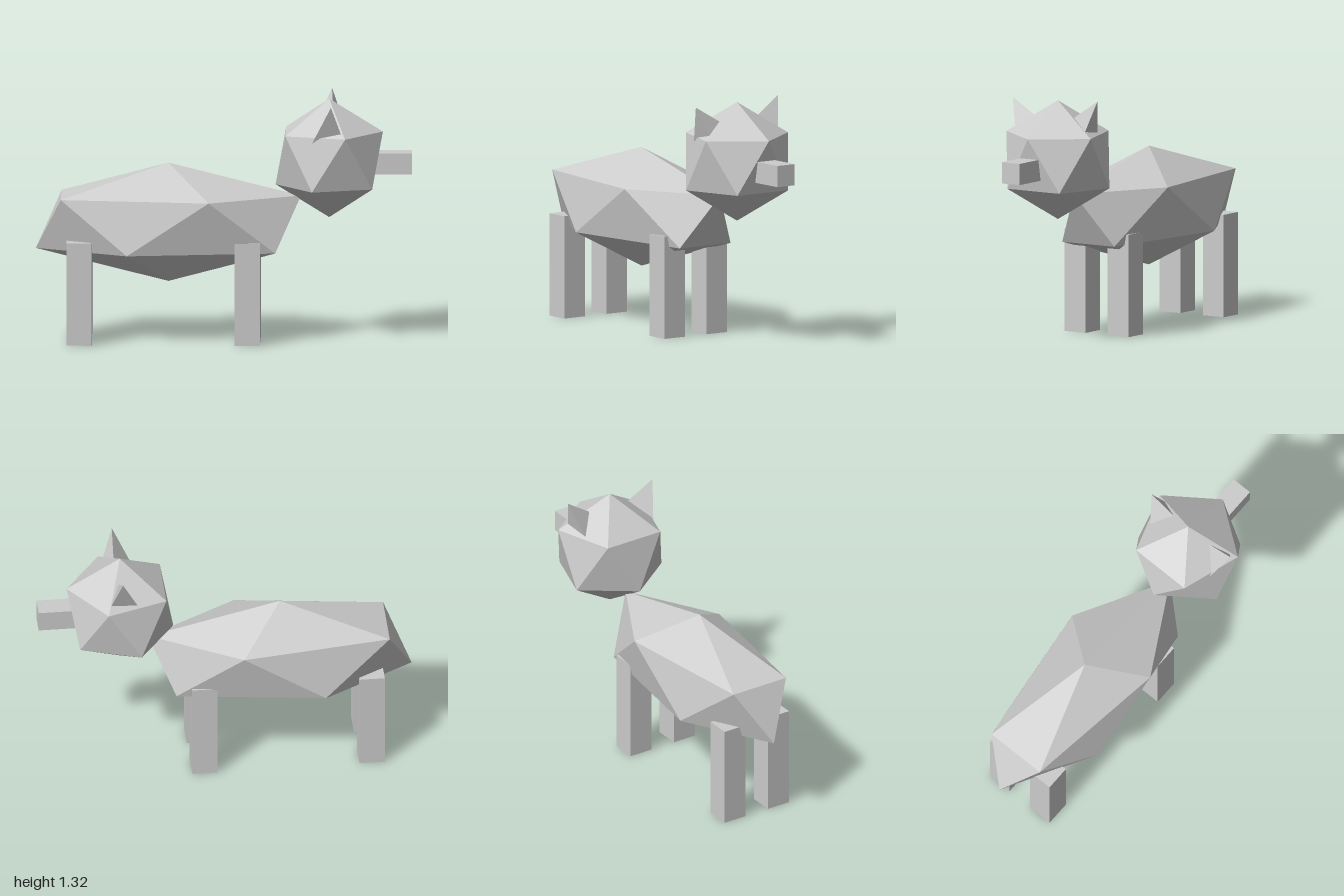
import * as THREE from 'three';
import { ConvexGeometry } from 'three/addons/geometries/ConvexGeometry.js';

const material = new THREE.MeshStandardMaterial({ color: 0xcccccc, flatShading: true });

function addPart(group, name, geometry, x = 0, y = 0, z = 0) {
  const mesh = new THREE.Mesh(geometry, material);
  mesh.name = name;
  mesh.position.set(x, y, z);
  group.add(mesh);
  return mesh;
}

// Twenty-sided ball standing on a corner: two poles and two rings of five
function standingIcosahedron(radius) {
  const points = [new THREE.Vector3(0, radius, 0), new THREE.Vector3(0, -radius, 0)];
  const ringY = radius / Math.sqrt(5);
  const ringR = ringY * 2;
  for (let i = 0; i < 10; i++) {
    const a = (i * Math.PI) / 5;
    points.push(new THREE.Vector3(Math.cos(a) * ringR, i % 2 ? -ringY : ringY, Math.sin(a) * ringR));
  }
  return new ConvexGeometry(points);
}

// Three-sided spike whose edges run from the tip through the given points into the head
function earGeometry(tip, through) {
  const top = new THREE.Vector3(...tip);
  const base = through.map((p) => top.clone().lerp(new THREE.Vector3(...p), 1.25));
  return new ConvexGeometry([top, ...base]);
}

export function createModel() {
  const model = new THREE.Group();
  model.name = 'animal';

  // Body is the head's shape stretched lengthwise
  const ball = standingIcosahedron(0.319);
  addPart(model, 'body', ball, -0.295, 0.635, -0.002).scale.x = 2.47;
  addPart(model, 'head', ball, 0.56, 0.981, -0.002);

  // Snout
  addPart(model, 'snout', new THREE.BoxGeometry(0.23, 0.114, 0.114), 0.885, 0.958, 0);

  // Legs
  const leg = new THREE.BoxGeometry(0.135, 0.55, 0.135);
  for (const [end, x] of [['front', 0.127], ['back', -0.767]]) {
    for (const [side, z] of [['Right', 0.139], ['Left', -0.139]]) {
      addPart(model, `${end}Leg${side}`, leg, x, 0.275, z);
    }
  }

  // Ears, slightly uneven
  addPart(model, 'earRight', earGeometry([0.573, 1.297, 0.28],
    [[0.488, 1.126, 0.228], [0.623, 1.152, 0.232], [0.58, 1.21, 0.13]]));
  addPart(model, 'earLeft', earGeometry([0.571, 1.315, -0.264],
    [[0.484, 1.127, -0.204], [0.63, 1.152, -0.223], [0.58, 1.218, -0.12]]));

  return model;
}
